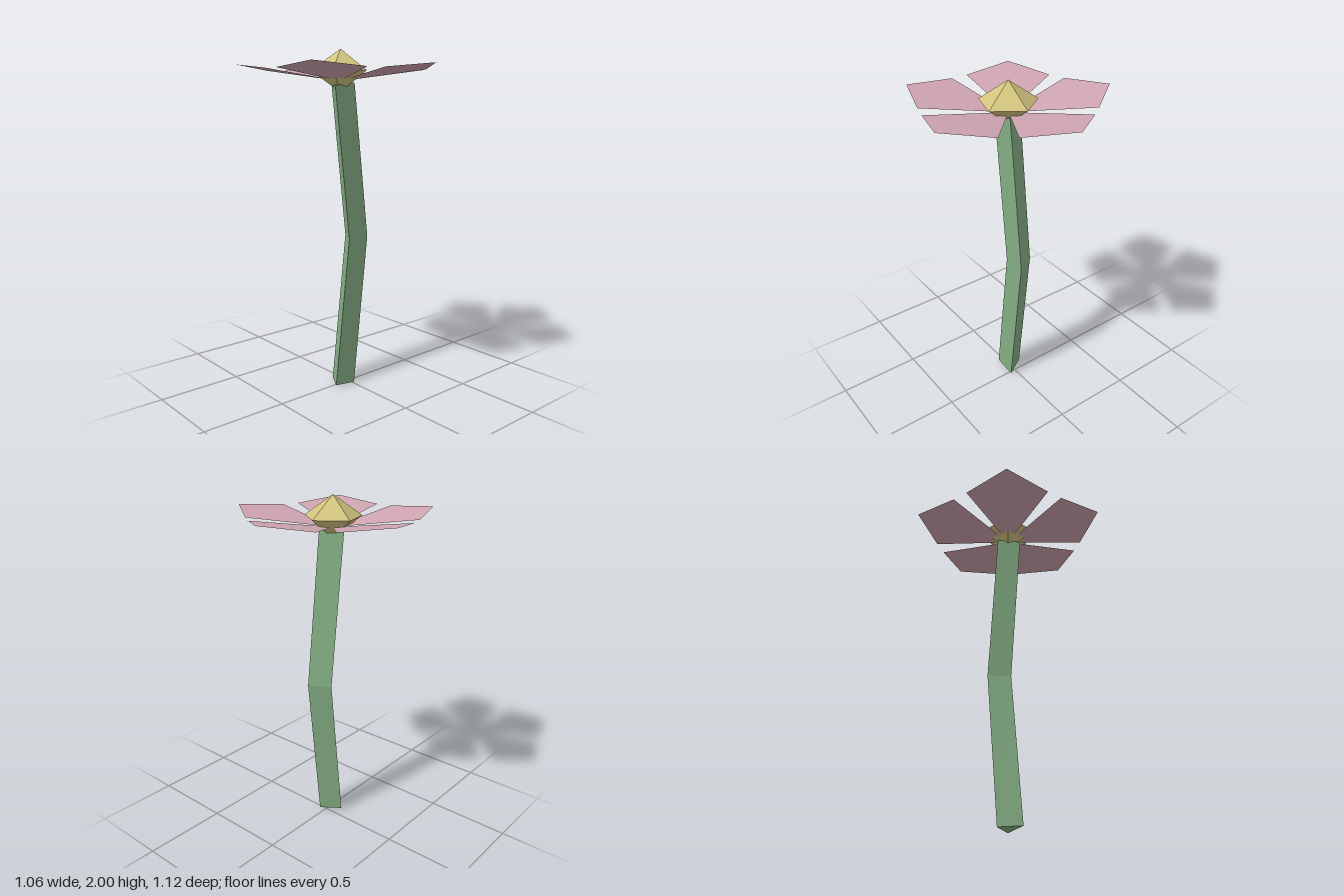
import * as THREE from 'three';

const CENTRE_X = -0.055; // axis of the blossom

export function createModel() {
  const group = new THREE.Group();
  group.name = 'flower';

  const stemGreen = new THREE.MeshStandardMaterial({ name: 'stemGreen', color: 0x84ad84, flatShading: true });
  const petalPink = new THREE.MeshStandardMaterial({
    name: 'petalPink', color: 0xcfa5b1, flatShading: true, side: THREE.DoubleSide,
  });
  const pollenYellow = new THREE.MeshStandardMaterial({ name: 'pollenYellow', color: 0xd2c47e, flatShading: true });

  const add = (name, geometry, material) => {
    const mesh = new THREE.Mesh(geometry, material);
    mesh.name = name;
    group.add(mesh);
    return mesh;
  };

  // Stem: three-sided prism with its flat side to the front, bent at the middle
  const stem = new THREE.CylinderGeometry(0.08, 0.08, 2, 3, 2).rotateY(Math.PI);
  const pos = stem.attributes.position;
  for (let i = 0; i < pos.count; i++) {
    const x = pos.getX(i) * 1.03;
    const t = Math.round(pos.getY(i)); // -1 bottom, 0 bend, 1 top
    pos.setX(i, x + (t === 0 ? 0.048 : -0.056));
    pos.setY(i, 0.908 + t * 0.899 + t * 0.12 * x);
  }
  stem.computeVertexNormals();
  add('stem', stem, stemGreen);

  // Flower centre: five-sided double pyramid
  const centre = new THREE.SphereGeometry(0.17, 5, 2).rotateY(Math.PI).scale(1, 0.12 / 0.17, 1);
  add('flowerCentre', centre, pollenYellow).position.set(CENTRE_X, 1.88, 0);

  // Petals: flat kites that rise slightly outwards
  const kite = new THREE.Shape([[0, 0], [0.415, -0.24], [0.587, 0], [0.415, 0.24]]
    .map(([x, y]) => new THREE.Vector2(x, y)));
  const petal = new THREE.ShapeGeometry(kite).rotateX(-Math.PI / 2);
  const p = petal.attributes.position;
  for (let i = 0; i < p.count; i++) p.setY(i, p.getX(i) * 0.153);
  petal.computeVertexNormals();
  for (let i = 0; i < 5; i++) {
    const mesh = add(`petal${i + 1}`, petal, petalPink);
    mesh.position.set(CENTRE_X, 1.822, 0);
    mesh.rotation.y = (i * Math.PI * 2) / 5;
  }

  return group;
}
